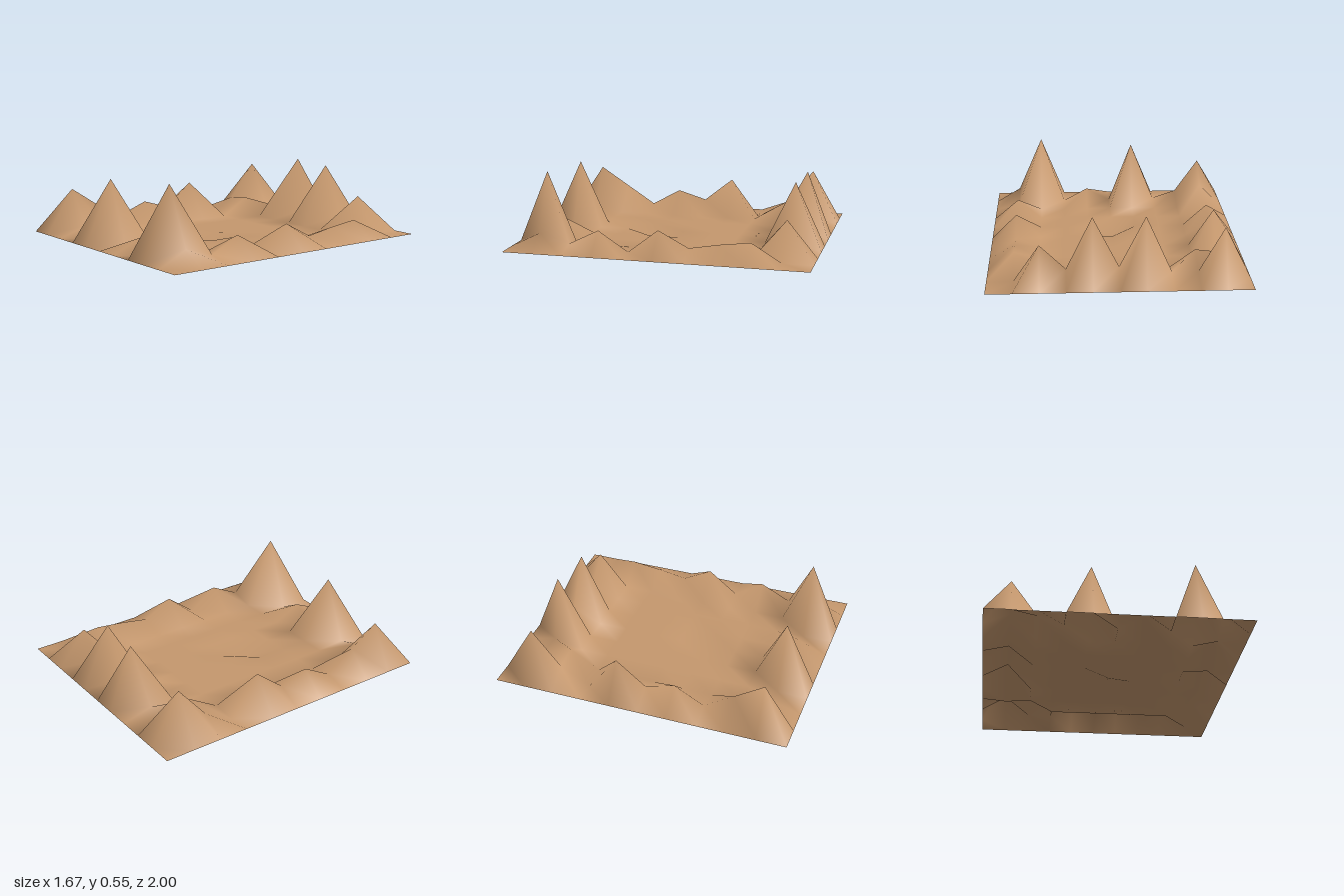
import * as THREE from 'three';

const WIDTH = 5 / 3, DEPTH = 2, CELLS = 10, GROUND = 0.07;

// Summits, foothills and hollows: [column, row, height], counted from the back right corner
const FEATURES = [
  // back range
  [1, 1, 0.41], [2, 1, 0.12], [3, 1, 0.12], [4, 1, 0.50], [5, 1, 0.16], [6, 1, 0.49], [7, 1, 0.15], [8, 1, 0.31],
  [1, 2, 0.17], [2, 2, 0.19],
  // hills along the -x edge
  [1, 3, 0.055], [1, 4, 0.32], [1, 5, 0.16], [1, 6, 0.22], [1, 7, 0.11], [1, 8, 0.24],
  // hills along the +x edge
  [9, 2, 0.19], [9, 3, 0.165], [9, 4, 0.13], [9, 5, 0.235], [9, 6, 0.08], [9, 7, 0.21], [9, 8, 0.11], [9, 9, 0.17],
  // front range
  [1, 9, 0.37], [2, 9, 0.135], [3, 9, 0.08], [4, 9, 0.50], [6, 9, 0.16], [8, 9, 0.55],
  // hollow in the valley floor
  [5, 6, 0],
];

export function createModel() {
  const geometry = new THREE.PlaneGeometry(WIDTH, DEPTH, CELLS, CELLS);
  geometry.rotateX(-Math.PI / 2);
  geometry.translate(0, GROUND, 0);

  // Raise or lower the grid points
  const points = geometry.attributes.position;
  const indexOf = (column, row) => row * (CELLS + 1) + column;
  for (const [column, row, height] of FEATURES) points.setY(indexOf(column, row), height);
  // One back summit leans slightly outwards
  points.setZ(indexOf(4, 1), -0.83);
  geometry.computeVertexNormals();

  const terrain = new THREE.Mesh(
    geometry,
    new THREE.MeshStandardMaterial({ color: 0xc4976d, side: THREE.DoubleSide }),
  );
  terrain.name = 'mountainTerrain';

  const group = new THREE.Group();
  group.name = 'mountainValley';
  group.add(terrain);
  return group;
}
